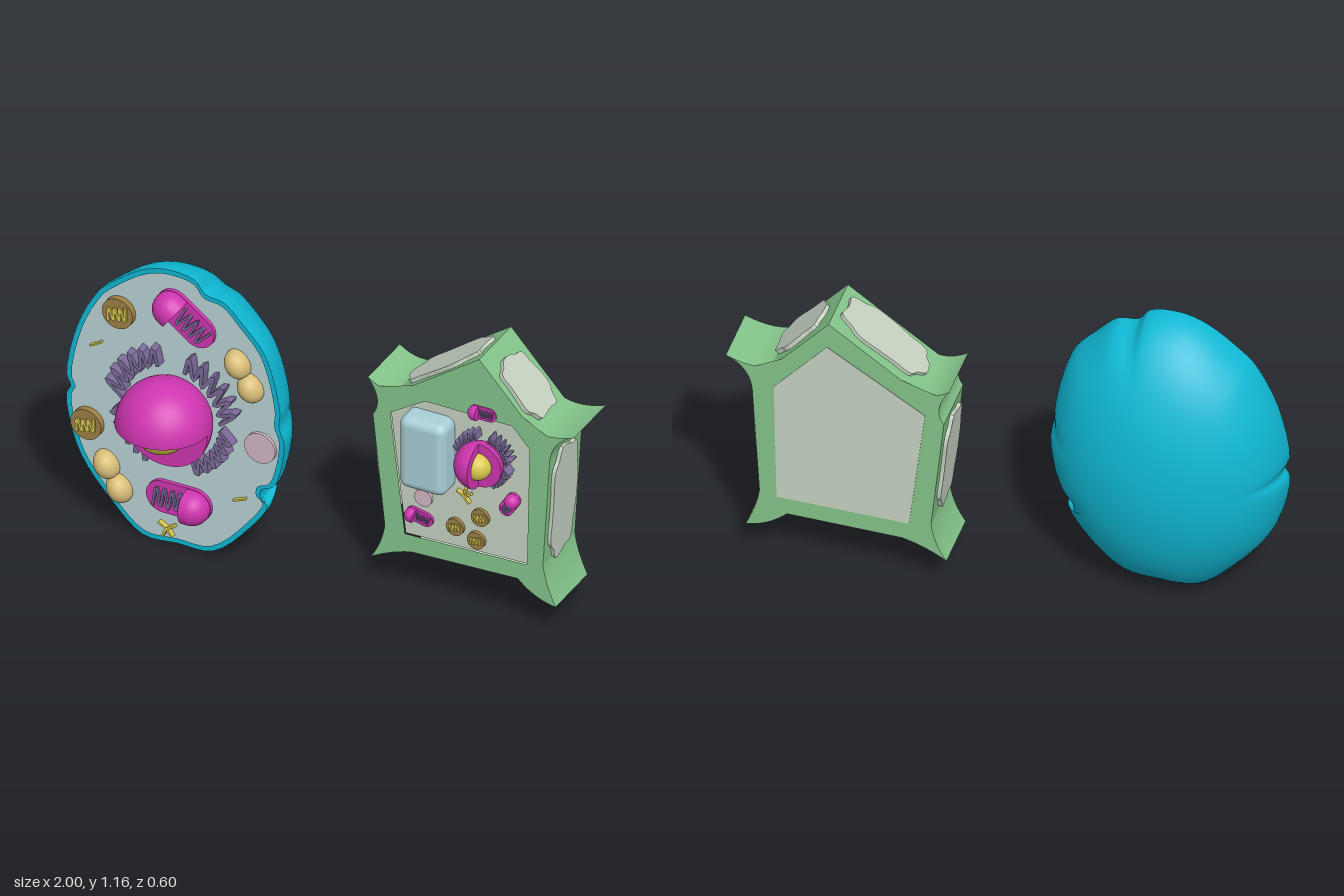
import * as THREE from 'three';
import { mergeGeometries } from 'three/addons/utils/BufferGeometryUtils.js';
import { ParametricGeometry } from 'three/addons/geometries/ParametricGeometry.js';
import { RoundedBoxGeometry } from 'three/addons/geometries/RoundedBoxGeometry.js';

const mat = (color) => new THREE.MeshStandardMaterial({ color });
const M = {
  cyan: mat(0x0fb8d4), fluid: mat(0xbad3d6), magenta: mat(0xcf35b0), yellow: mat(0xdac94f),
  purple: mat(0x7b6a98), tan: mat(0xd8bd78), brown: mat(0x9c7f45), pink: mat(0xd2b6c6),
  green: mat(0x84c48a), pale: mat(0xc6d2c2), blue: mat(0xa9cfd8),
};
const V2 = (p) => new THREE.Vector2(p[0], p[1]);

function add(parent, name, geo, material, x = 0, y = 0, z = 0) {
  const mesh = new THREE.Mesh(geo, material);
  mesh.name = name;
  mesh.position.set(x, y, z);
  parent.add(mesh);
  return mesh;
}

const extrude = (shape, depth, curveSegments = 10) =>
  new THREE.ExtrudeGeometry(shape, { depth, bevelEnabled: false, curveSegments });

// Flat band of rectangular section following a wavy line in the xy plane
function ribbon(points, width, depth) {
  const path = new THREE.CatmullRomCurve3(points.map(([x, y]) => new THREE.Vector3(x, y, 0)));
  const [a, b] = [depth / 2, width / 2];
  const section = new THREE.Shape([[-a, -b], [a, -b], [a, b], [-a, b]].map(V2));
  return new THREE.ExtrudeGeometry(section, { steps: points.length * 6, extrudePath: path, bevelEnabled: false });
}

function zigzag(n, x0, x1, h) {
  return Array.from({ length: n }, (_, i) => [THREE.MathUtils.lerp(x0, x1, i / (n - 1)), i % 2 ? h : -h]);
}

// Sphere with its lower front quarter cut away, showing the nucleolus
function nucleus(parent, x, y, z, r, core, turn) {
  const g = new THREE.Group();
  g.name = 'nucleus';
  const ball = new THREE.SphereGeometry(r, 36, 24, Math.PI / 2, Math.PI * 1.5).rotateZ(Math.PI / 2);
  const roof = new THREE.CircleGeometry(r, 32, 0, Math.PI).rotateX(Math.PI / 2);
  const back = new THREE.CircleGeometry(r, 32, Math.PI, Math.PI);
  add(g, 'nucleusShell', mergeGeometries([ball, roof, back]), M.magenta);
  add(g, 'nucleolus', new THREE.SphereGeometry(core, 28, 20), M.yellow, 0, 0, core * 0.15);
  g.position.set(x, y, z);
  g.rotation.z = turn;
  parent.add(g);
}

// Folded membrane around the nucleus, in four lobes
function reticulum(parent, x, y, z, s, depth) {
  const g = new THREE.Group();
  g.name = 'endoplasmicReticulum';
  for (const side of [1, -1]) {
    for (const [from, to, outer] of [[4, 74, 0.27], [-4, -64, 0.25]]) {
      const pts = [];
      for (let i = 0; i < 13; i++) {
        const r = i % 2 ? outer : 0.195;
        const t = THREE.MathUtils.degToRad(THREE.MathUtils.lerp(from, to, i / 12) + (i % 2 ? 6 : 0) * Math.sign(from));
        pts.push([side * r * Math.cos(t) * s, r * Math.sin(t) * s]);
      }
      add(g, 'reticulumFold', ribbon(pts, 0.014 * s, depth), M.purple);
    }
  }
  g.position.set(x, y, z);
  parent.add(g);
}

// Capsule with one whole domed end (+x) and the rest sliced open over its folds
function mitochondrion(parent, x, y, z, s, degrees) {
  const g = new THREE.Group();
  g.name = 'mitochondrion';
  const r = 0.066, e = 0.064;
  const body = new THREE.Shape();
  body.absarc(e, 0, r, -Math.PI / 2, Math.PI / 2);
  body.absarc(-e, 0, r, Math.PI / 2, Math.PI * 1.5);
  add(g, 'slicedBody', extrude(body, 0.045), M.magenta);
  const dome = [[0, 0.038], [r, 0.038], [r, 0.038]].map(V2);
  for (let i = 0; i <= 10; i++) {
    const a = (i / 10) * Math.PI / 2;
    dome.push(new THREE.Vector2(r * Math.cos(a), e + r * Math.sin(a)));
  }
  add(g, 'domedEnd', new THREE.LatheGeometry(dome, 24).rotateZ(-Math.PI / 2), M.magenta, 0, 0, 0.06);
  add(g, 'innerFolds', ribbon(zigzag(9, -0.1, 0.025, 0.042), 0.009, 0.016), M.purple, 0, 0, 0.048);
  g.position.set(x, y, z);
  g.scale.setScalar(s);
  g.rotation.z = THREE.MathUtils.degToRad(degrees);
  parent.add(g);
}

function disc(parent, name, x, y, z, r, depth, material) {
  return add(parent, name, new THREE.CylinderGeometry(r, r, depth, 28).rotateX(Math.PI / 2), material, x, y, z + depth / 2);
}

// Round body with a yellow squiggle on its face
function vesicle(parent, x, y, z, r) {
  disc(parent, 'vesicle', x, y, z, r, r * 0.4, M.brown);
  const fold = add(parent, 'vesicleFold', ribbon(zigzag(8, -r * 0.65, r * 0.65, r * 0.45), r * 0.15, r * 0.2), M.yellow, x, y, z + r * 0.42);
  fold.rotation.z = 0.2;
}

// Small branching rods
function rods(parent, x, y, z, s, angles) {
  for (const a of angles) {
    const rod = add(parent, 'rod', new THREE.BoxGeometry(s, s * 0.22, 0.02), M.yellow,
      x + Math.cos(a) * s * 0.45, y + Math.sin(a) * s * 0.45, z);
    rod.rotation.z = a;
  }
}

function animalCell() {
  const g = new THREE.Group();
  g.name = 'animalCell';
  const cx = -0.56, cy = 0.585;
  const rim = [[-0.59, 1.165], [-0.48, 1.152], [-0.44, 1.105], [-0.36, 1.09], [-0.285, 1.02], [-0.205, 0.93],
    [-0.165, 0.83], [-0.137, 0.69], [-0.14, 0.625], [-0.12, 0.565], [-0.14, 0.42], [-0.165, 0.365], [-0.212, 0.34],
    [-0.215, 0.295], [-0.187, 0.28], [-0.26, 0.163], [-0.41, 0.02], [-0.55, 0.012], [-0.69, 0.008], [-0.82, 0.12],
    [-0.94, 0.275], [-0.99, 0.43], [-0.998, 0.52], [-0.982, 0.555], [-0.998, 0.6], [-0.955, 0.82], [-0.87, 0.99],
    [-0.82, 1.04], [-0.69, 1.135]];
  const curve = new THREE.CatmullRomCurve3(
    rim.map(([x, y]) => new THREE.Vector3(x - cx, y - cy, 0)), true, 'centripetal');

  // Domed shell: the wavy rim eases into an ellipse towards the back
  const shell = new ParametricGeometry((u, v, out) => {
    const p = curve.getPoint(u), a = v * Math.PI / 2;
    const t = Math.atan2(p.y / 0.58, p.x / 0.44);
    const k = THREE.MathUtils.smoothstep(v, 0, 0.6);
    p.lerp(new THREE.Vector3(0.44 * Math.cos(t), 0.58 * Math.sin(t), 0), k);
    out.set(p.x * Math.cos(a), p.y * Math.cos(a), 0.035 - 0.335 * Math.sin(a));
  }, 116, 20);
  add(g, 'outerShell', shell, M.cyan, cx, cy);

  const loop = (kx, ky) => curve.getPoints(116).slice(0, -1).map((p) => new THREE.Vector2(p.x * kx, p.y * ky));
  const ring = new THREE.Shape(loop(0.997, 0.997));
  ring.holes.push(new THREE.Path(loop(0.95, 0.962)));
  add(g, 'rim', extrude(ring, 0.02), M.cyan, cx, cy, 0.0155);
  add(g, 'cytoplasm', new THREE.ShapeGeometry(new THREE.Shape(loop(0.97, 0.97))), M.fluid, cx, cy, 0.03);

  nucleus(g, cx, 0.568, 0.122, 0.176, 0.105, 0);
  reticulum(g, cx, 0.575, 0.05, 1, 0.04);
  mitochondrion(g, -0.515, 0.98, 0, 1, 143);
  mitochondrion(g, -0.542, 0.2, 0, 1, 0);
  vesicle(g, -0.783, 0.928, 0.03, 0.062);
  vesicle(g, -0.91, 0.42, 0.03, 0.062);
  disc(g, 'lysosome', -0.216, 0.52, 0.028, 0.062, 0.014, M.pink);

  // Twin-lobed bodies
  for (const [x, y] of [[-0.28, 0.807], [-0.808, 0.225]]) {
    for (const s of [1, -1]) {
      const lobe = add(g, 'peanutLobe', new THREE.SphereGeometry(1, 24, 16), M.tan, x - s * 0.026, y + s * 0.043, 0.035);
      lobe.scale.set(0.047, 0.058, 0.055);
      lobe.rotation.z = 0.5;
    }
  }
  rods(g, -0.588, 0.073, 0.043, 0.04, [0.5, 2.6, -0.9, -2.0]);
  rods(g, -0.875, 0.765, 0.036, 0.028, [0.6, 3.6]);
  rods(g, -0.298, 0.277, 0.036, 0.028, [0.4, 3.5]);
  return g;
}

function plantCell() {
  const g = new THREE.Group();
  g.name = 'plantCell';
  // Pentagonal wall with flared corners: start, control, tip, control, end
  const flares = [
    [0.832, 0.858, 0.9, 0.835, 1.0, 0.875, 0.912, 0.84, 0.902, 0.746],
    [0.875, 0.297, 0.885, 0.22, 0.926, 0.135, 0.84, 0.145, 0.773, 0.211],
    [0.345, 0.195, 0.26, 0.175, 0.18, 0.126, 0.225, 0.19, 0.238, 0.275],
    [0.19, 0.735, 0.235, 0.8, 0.17, 0.885, 0.225, 0.845, 0.281, 0.853]];
  const wall = new THREE.Shape().moveTo(0.618, 1.094);
  for (const [sx, sy, ax, ay, tx, ty, bx, by, ex, ey] of flares) {
    wall.lineTo(sx, sy).quadraticCurveTo(ax, ay, tx, ty).quadraticCurveTo(bx, by, ex, ey);
  }
  const inner = [[0.624, 0.992], [0.821, 0.773], [0.811, 0.281], [0.319, 0.265], [0.26, 0.762]].map(V2);
  wall.holes.push(new THREE.Path(inner));
  add(g, 'cellWall', extrude(wall, 0.245), M.green, 0, 0, -0.298);
  add(g, 'cytoplasm', extrude(new THREE.Shape(inner), 0.24), M.pale, 0, 0, -0.3);

  // Wavy-edged plates on the outside of each wall
  const plates = [[0.873, 0.285, 0.904, 0.775], [0.835, 0.862, 0.66, 1.05], [0.605, 1.085, 0.29, 0.86],
    [0.191, 0.72, 0.236, 0.29], [0.32, 0.197, 0.805, 0.209]];
  plates.forEach(([x0, y0, x1, y1], n) => {
    const half = Math.hypot(x1 - x0, y1 - y0) / 2;
    const pts = [];
    for (let i = 0; i < 48; i++) {
      const a = (i / 48) * Math.PI * 2;
      const w = 0.95 + 0.05 * Math.sin(7 * a + n);
      const round = (c) => Math.sign(c) * Math.abs(c) ** 0.65;
      pts.push(new THREE.Vector2(half * w * round(Math.cos(a)), 0.096 * w * round(Math.sin(a))));
    }
    const plate = add(g, 'wallPlate', extrude(new THREE.Shape(pts), 0.02), M.pale);
    const along = new THREE.Vector3(x1 - x0, y1 - y0, 0).normalize();
    const up = new THREE.Vector3(0, 0, 1);
    const out = along.clone().cross(up);
    plate.quaternion.setFromRotationMatrix(new THREE.Matrix4().makeBasis(along, up, out));
    plate.position.set((x0 + x1) / 2, (y0 + y1) / 2, -0.168).addScaledVector(out, -0.006);
  });

  add(g, 'vacuole', new RoundedBoxGeometry(0.187, 0.3, 0.15, 5, 0.035), M.blue, 0.423, 0.66, -0.047);
  nucleus(g, 0.65, 0.692, 0.012, 0.09, 0.052, Math.PI / 2);
  reticulum(g, 0.65, 0.692, -0.033, 0.44, 0.045);
  mitochondrion(g, 0.634, 0.87, -0.068, 0.42, 180);
  mitochondrion(g, 0.378, 0.355, -0.068, 0.42, 168);
  mitochondrion(g, 0.741, 0.516, -0.068, 0.42, 58);
  for (const [x, y] of [[0.522, 0.356], [0.623, 0.425], [0.607, 0.324]]) vesicle(g, x, y, -0.06, 0.035);
  disc(g, 'lysosome', 0.394, 0.441, -0.062, 0.035, 0.014, M.pink);
  rods(g, 0.56, 0.5, -0.052, 0.035, [0.5, 2.6, -0.9, 1.4]);
  return g;
}

export function createModel() {
  const model = new THREE.Group();
  model.name = 'cellModels';
  model.add(animalCell(), plantCell());
  return model;
}
